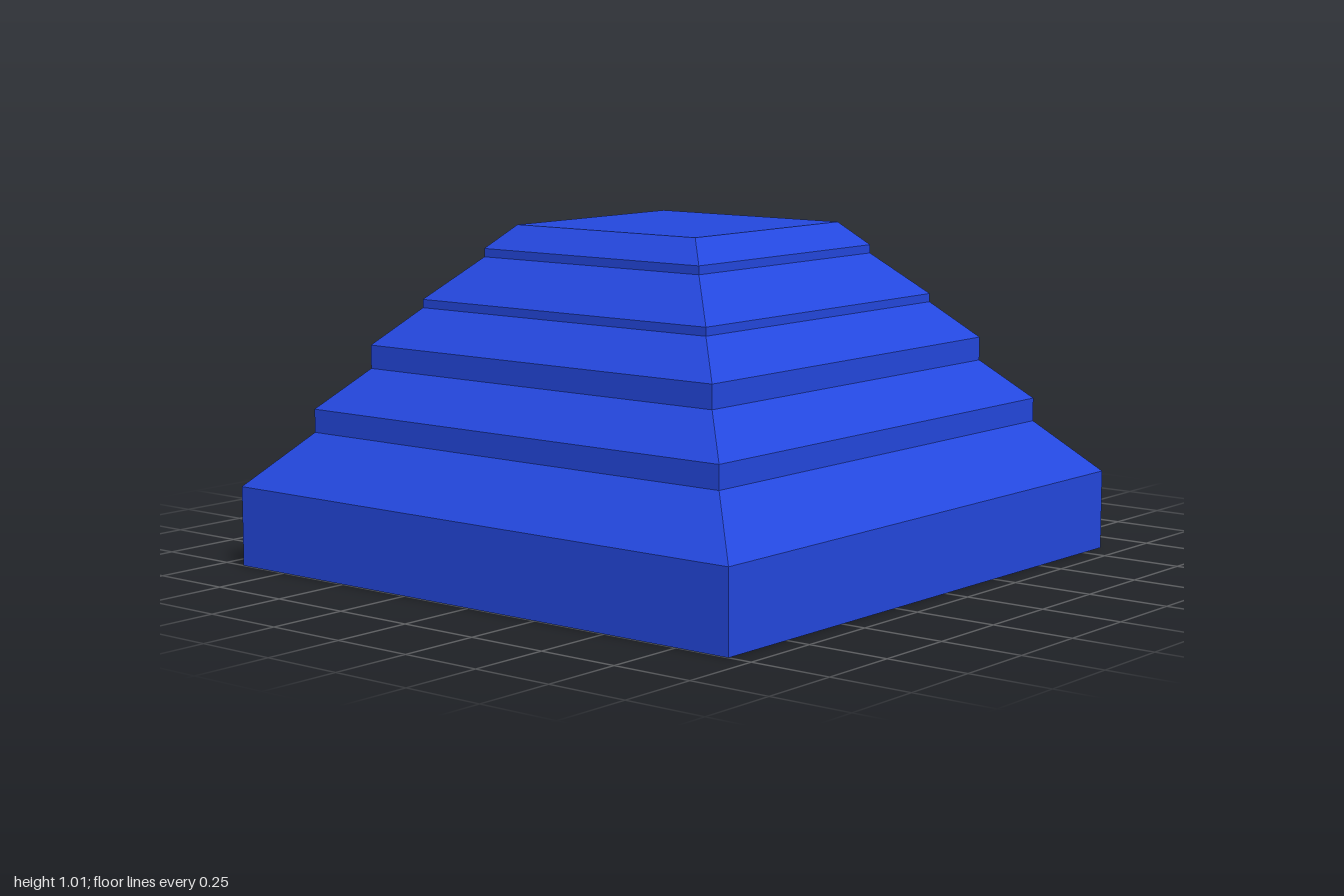
import * as THREE from 'three';

const CX = -0.075;   // pyramid centre in x
const HALF = 0.925;  // half width of the base
const WALL = 0.24;   // height of the base walls and entrance
const DOOR = 0.31;   // half width of the entrance

export function createModel() {
  const model = new THREE.Group();
  const material = new THREE.MeshStandardMaterial({
    color: 0x2448e0, flatShading: true, side: THREE.DoubleSide,
  });

  const add = (name, geometry, x = 0, y = 0, z = 0) => {
    const mesh = new THREE.Mesh(geometry, material);
    mesh.name = name;
    mesh.position.set(x, y, z);
    model.add(mesh);
    return mesh;
  };

  // Vertical panel standing on the ground, turned to face the given direction
  const panel = (name, width, x, z, turn) => {
    add(name, new THREE.PlaneGeometry(width, WALL), x, WALL / 2, z).rotation.y = turn;
  };

  // Horizontal panel, facing up or down
  const slab = (name, width, depth, x, y, up) => {
    add(name, new THREE.PlaneGeometry(width, depth), x, y, 0).rotation.x = up ? -Math.PI / 2 : Math.PI / 2;
  };

  // Stepped roof: [half width, height] profile swept around four sides
  const profile = [
    [HALF, WALL], [0.77, 0.4], [0.77, 0.47], [0.65, 0.59], [0.65, 0.66],
    [0.54, 0.77], [0.54, 0.795], [0.41, 0.92], [0.41, 0.945], [0.34, 1.015], [0, 1.015],
  ].map(([w, y]) => new THREE.Vector2(w * Math.SQRT2, y));
  const roof = new THREE.LatheGeometry(profile, 4, Math.PI / 4).toNonIndexed();
  roof.computeVertexNormals();
  add('steppedRoof', roof, CX);

  // Base walls, with a doorway in the +x side
  panel('frontWall', HALF * 2, CX, HALF, 0);
  panel('backWall', HALF * 2, CX, -HALF, Math.PI);
  panel('rightWall', HALF * 2, CX - HALF, 0, -Math.PI / 2);
  for (const s of [1, -1]) {
    panel('doorwayWall', HALF - DOOR, CX + HALF, s * (HALF + DOOR) / 2, Math.PI / 2);
    // Side walls of the entrance tunnel
    panel('entranceSide', 0.15, 0.925, s * DOOR, s > 0 ? 0 : Math.PI);
  }

  // Floors and entrance roof
  slab('floor', HALF * 2, HALF * 2, CX, 0, false);
  slab('entranceFloor', 0.15, DOOR * 2, 0.925, 0, false);
  slab('entranceRoof', 0.15, DOOR * 2, 0.925, WALL, true);

  return model;
}
